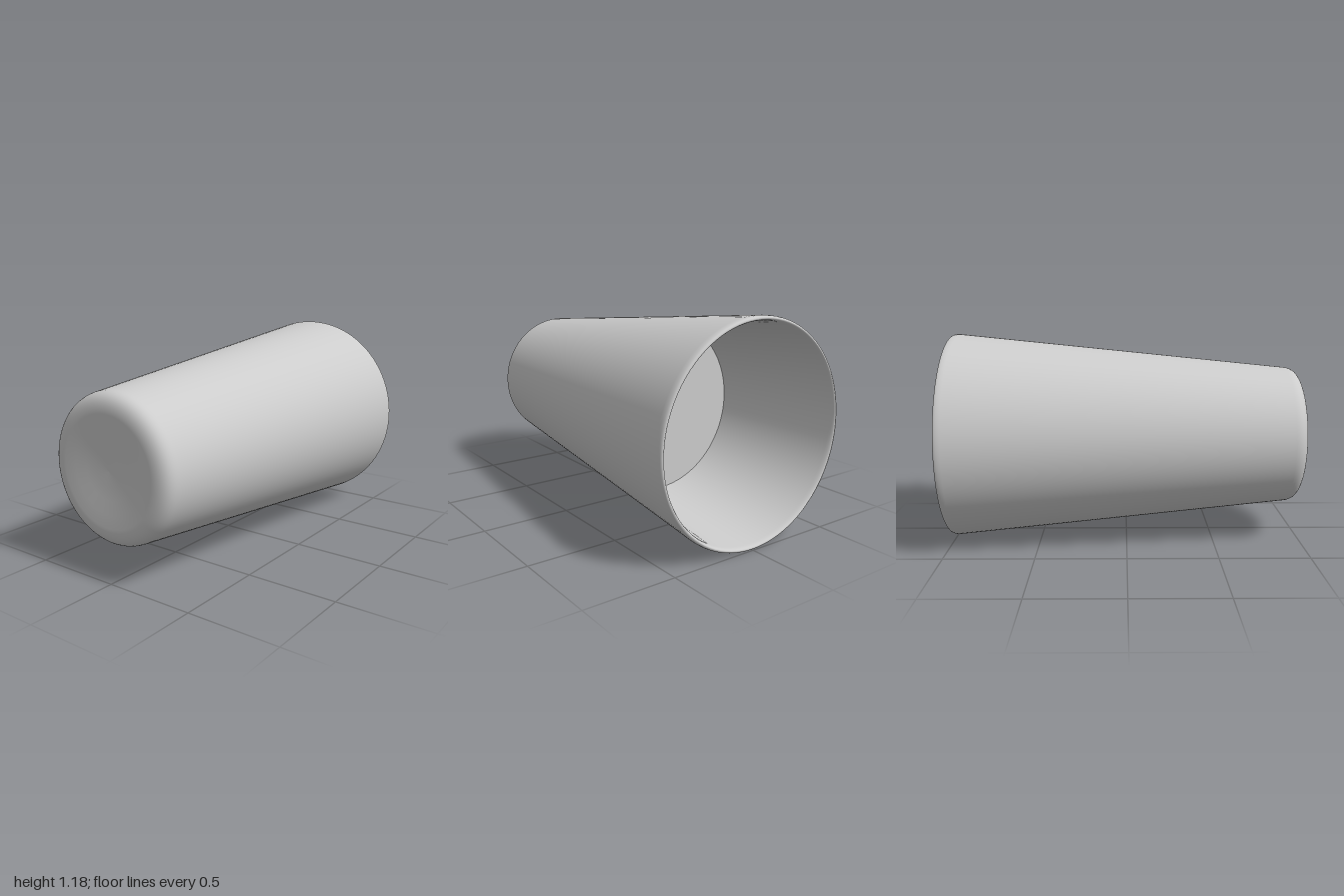
import * as THREE from 'three';

const material = () => new THREE.MeshStandardMaterial({ color: 0xcccccc });
const AXIS_Y = 0.588; // height of the cup's axis as it lies on its side

// Rounded corner: quarter-like curve from a to b, pulled towards corner c
function corner(a, c, b, steps) {
  const v = (p) => new THREE.Vector2(...p);
  return new THREE.QuadraticBezierCurve(v(a), v(c), v(b)).getPoints(steps);
}

// Straight run sampled so that smooth normals stay local to the corners
function run(a, b, steps) {
  return new THREE.LineCurve(new THREE.Vector2(...a), new THREE.Vector2(...b)).getPoints(steps).slice(1, -1);
}

// Turns a part made around y so that its axis lies along z
function lay(geometry, name) {
  geometry.rotateX(Math.PI / 2);
  const mesh = new THREE.Mesh(geometry, material());
  mesh.name = name;
  mesh.position.y = AXIS_Y;
  return mesh;
}

export function createModel() {
  const group = new THREE.Group();
  group.name = 'cup';

  // Hollow tapered wall: inside floor, inner wall, rolled rim, outer wall, rounded base
  const profile = [
    new THREE.Vector2(0, 0.93),
    new THREE.Vector2(0.3, 0.93),
    ...corner([0.34, 0.93], [0.373, 0.93], [0.378, 0.87], 5),
    ...run([0.378, 0.87], [0.562, -0.97], 16),
    ...corner([0.562, -0.97], [0.565, -1], [0.574, -1], 4),
    ...corner([0.576, -1], [0.59, -1], [0.587, -0.96], 6),
    ...run([0.587, -0.96], [0.395, 0.92], 16),
    ...corner([0.395, 0.92], [0.389, 1], [0.29, 1], 10),
    // Shallow hollow in the underside
    new THREE.Vector2(0.22, 0.995),
    new THREE.Vector2(0.15, 0.988),
    new THREE.Vector2(0.08, 0.983),
    new THREE.Vector2(0, 0.981),
  ];
  group.add(lay(new THREE.LatheGeometry(profile, 96), 'cupBody'));

  // Solid contents filling the cup from the floor to a flat surface
  const surfaceZ = -0.23, floorZ = 0.86;
  const innerRadius = (z) => 0.465 - 0.1 * z;
  const contents = new THREE.CylinderGeometry(
    innerRadius(floorZ) - 0.002, innerRadius(surfaceZ) - 0.002, floorZ - surfaceZ, 64);
  contents.translate(0, (floorZ + surfaceZ) / 2, 0);
  group.add(lay(contents, 'contents'));

  return group;
}
